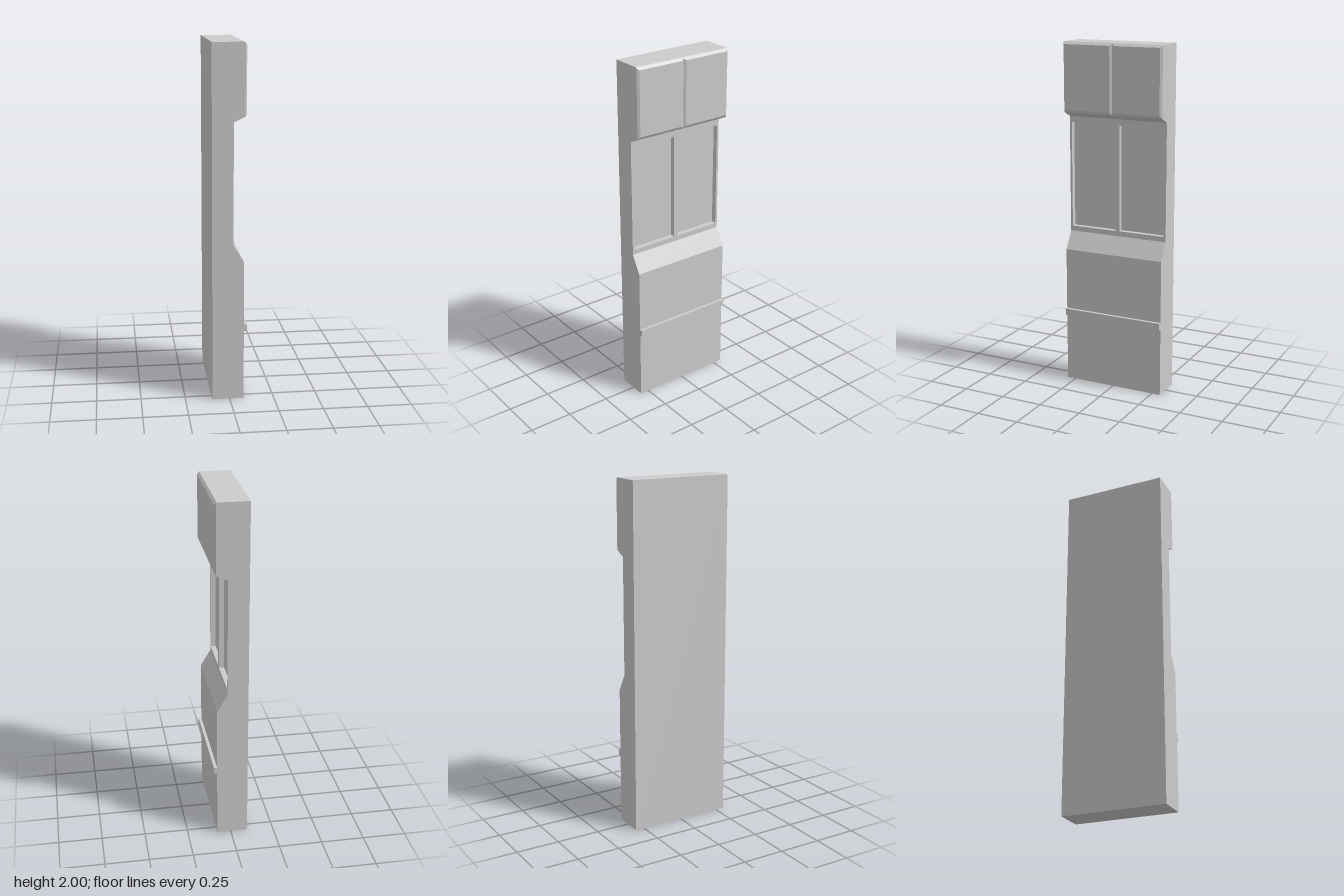
import * as THREE from 'three';

const HALF = 0.302; // half of the panel's width along z

export function createModel() {
  const group = new THREE.Group();
  group.name = 'wallPanel';
  const material = new THREE.MeshStandardMaterial({ color: 0xcccccc, flatShading: true });

  function add(name, geometry) {
    const mesh = new THREE.Mesh(geometry, material);
    mesh.name = name;
    group.add(mesh);
    return mesh;
  }

  function rectangle(u0, u1, v0, v1, Type = THREE.Shape) {
    return new Type([[u0, v0], [u1, v0], [u1, v1], [u0, v1]].map(p => new THREE.Vector2(...p)));
  }

  // Body: side profile swept across the width, notched to take the recessed frame
  const faceX = 0.02, floorX = -0.01, low = 0.9, high = 1.575;
  const profile = new THREE.Shape([
    [-0.098, 0], [0.079, 0], [0.079, 0.8], [faceX, low], [floorX, low],
    [floorX, high], [faceX, high], [0.083, 1.605], [0.083, 1.995], [0.078, 2], [-0.098, 2],
  ].map(p => new THREE.Vector2(...p)));
  const body = new THREE.ExtrudeGeometry(profile, { depth: 2 * HALF, bevelEnabled: false });
  add('body', body.translate(0, 0, -HALF));

  // Frame with two openings, flush with the body's sides
  const frame = rectangle(-HALF, HALF, low, high);
  for (const side of [-1, 1]) {
    frame.holes.push(rectangle(side * 0.013, side * 0.29, 0.93, 1.54, THREE.Path));
  }
  const frameGeometry = new THREE.ExtrudeGeometry(frame, { depth: faceX - floorX, bevelEnabled: false });
  add('recessedFrame', frameGeometry.rotateY(Math.PI / 2).translate(floorX, 0, 0));

  // Pair of bevelled plates at the top: boxes with the outer face drawn in
  for (const side of [-1, 1]) {
    const plate = new THREE.BoxGeometry(0.009, 0.39, HALF);
    const pos = plate.attributes.position;
    for (let i = 0; i < pos.count; i++) {
      if (pos.getX(i) < 0) continue;
      pos.setY(i, pos.getY(i) > 0 ? 0.185 : -0.18);
      pos.setZ(i, Math.sign(pos.getZ(i)) * (HALF / 2 - 0.013));
    }
    plate.computeVertexNormals();
    add(side > 0 ? 'upperPlateLeft' : 'upperPlateRight', plate)
      .position.set(0.0875, 1.8, side * HALF / 2);
  }

  // Trim strip across the lower face
  add('trimStrip', new THREE.BoxGeometry(0.018, 0.04, 2 * HALF)).position.set(0.088, 0.42, 0);

  return group;
}
